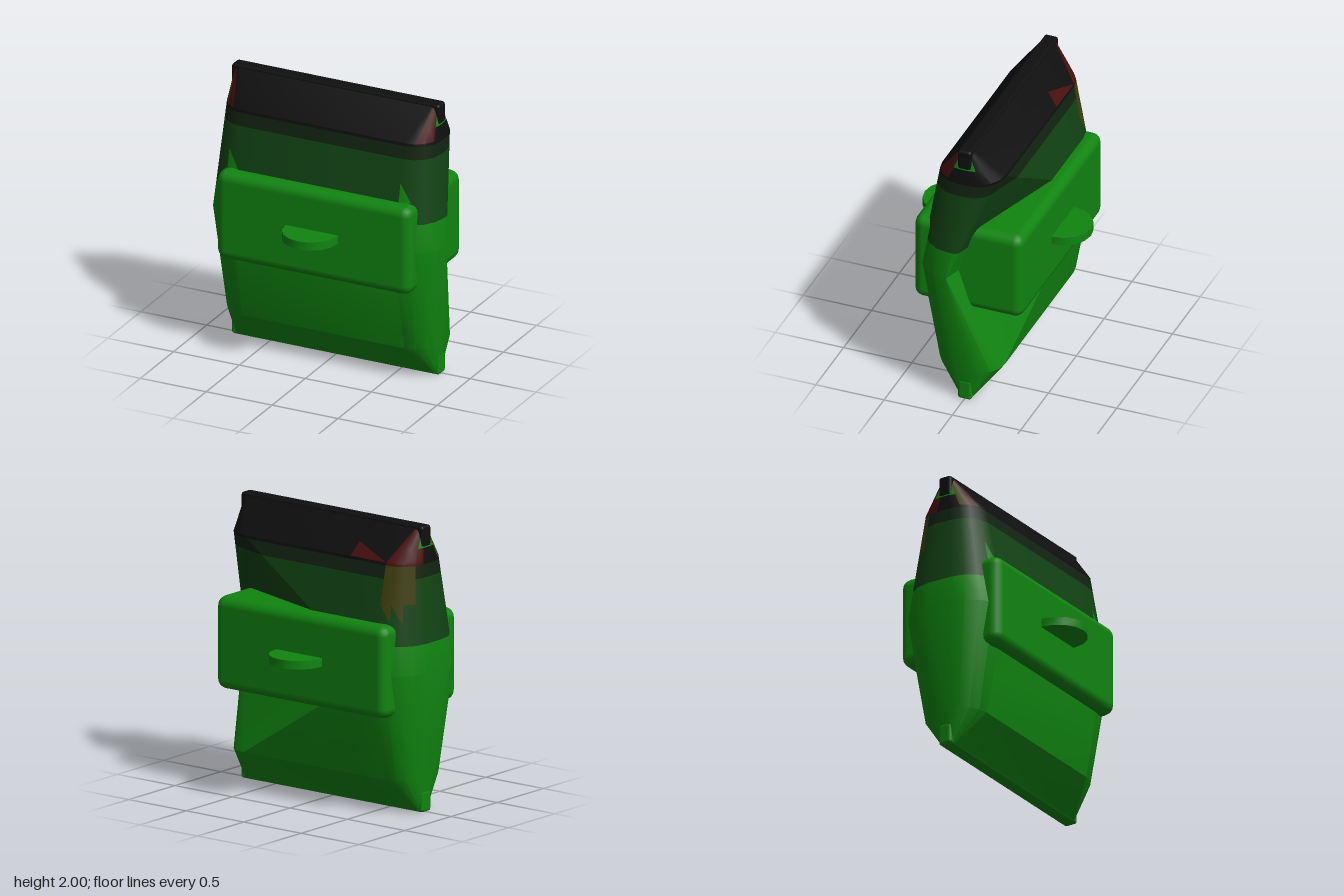
import * as THREE from 'three';
import { toCreasedNormals } from 'three/addons/utils/BufferGeometryUtils.js';
import { RoundedBoxGeometry } from 'three/addons/geometries/RoundedBoxGeometry.js';

const mat = (name, color) => {
  const m = new THREE.MeshStandardMaterial({ color });
  m.name = name;
  return m;
};

// Body sections: height, half width, half depth, corner radius
const SECTIONS = [
  [0.01, 0.77, 0.05, 0.04],
  [0.24, 0.80, 0.23, 0.18],
  [1.00, 0.87, 0.37, 0.27],
  [1.76, 0.80, 0.23, 0.18],
  [1.98, 0.77, 0.05, 0.04],
];
const ROWS = [0.01, 0.24, 1, 1.2, 1.35, 1.48, 1.65, 1.74, 1.76, 1.85, 1.98];
const STEPS = 4;

// One closed section, counter-clockwise from above, starting at the front right corner
function section([y, w, d, r]) {
  const corners = [0, 1, 2, 3].map((k) => {
    const pts = [];
    for (let s = 0; s <= STEPS; s++) {
      const a = (k - 1 + s / STEPS) * Math.PI / 2;
      const cx = (k < 2 ? 1 : -1) * (w - r);
      const cz = (k === 0 || k === 3 ? 1 : -1) * (d - r);
      pts.push(new THREE.Vector3(cx + r * Math.cos(a), y, cz - r * Math.sin(a)));
    }
    return pts;
  });
  const backLeft = corners[2][0];
  let fold = corners[1][STEPS];
  // The middle section has its back right corner pressed in
  if (y === 1) {
    corners[1] = corners[1].map(() => corners[0][STEPS].clone());
    fold = backLeft;
  }
  return [...corners[0], ...corners[1], fold.clone(), fold.clone().lerp(backLeft, 0.75),
    ...corners[2], ...corners[3]];
}

// Colour index of a body face: 0 green, 1 dark green, 2 deep green, 3 black, 4 red, 5 olive
function paint(row, col, lowerHalf) {
  const y = (ROWS[row] + ROWS[row + 1]) / 2;
  const backLeftCorner = col >= 12 && col <= 15;
  const nearEnd = (col >= 3 && col <= 5) || (col >= 15 && col <= 17);
  const frontCorner = col === 0 || col === 20;
  if (y < 1.2) return 0;
  if (y < 1.48) {
    if (frontCorner && y > 1.35 && lowerHalf) return 0;
    return backLeftCorner && y > 1.35 && col < 14 && !lowerHalf ? 5 : 1;
  }
  if (y < 1.74) return backLeftCorner && col < 15 ? 5 : y < 1.65 ? 1 : 2;
  if (y < 1.76) return backLeftCorner ? 4 : 3;
  if (y > 1.85 && nearEnd) return 0;
  if (backLeftCorner) return 4;
  if (col === 11 && y < 1.85 && lowerHalf) return 4;
  if (col === 18) return 5;
  if (col === 19 || col === 1 || col === 2) return 4;
  return 3;
}

function bodyGeometry() {
  const keys = SECTIONS.map(section);
  const rings = ROWS.map((y) => {
    let k = 0;
    while (k < SECTIONS.length - 2 && y > SECTIONS[k + 1][0]) k++;
    const t = (y - SECTIONS[k][0]) / (SECTIONS[k + 1][0] - SECTIONS[k][0]);
    return keys[k].map((p, i) => p.clone().lerp(keys[k + 1][i], t));
  });
  const buckets = [[], [], [], [], [], []];
  const n = rings[0].length;
  const add = (m, a, b, c) => {
    if (new THREE.Triangle(a, b, c).getArea() < 1e-7) return;
    for (const p of [a, b, c]) buckets[m].push(p.x, p.y, p.z);
  };
  for (let r = 0; r < rings.length - 1; r++) {
    for (let c = 0; c < n; c++) {
      const e = (c + 1) % n;
      add(paint(r, c, true), rings[r][c], rings[r][e], rings[r + 1][c]);
      add(paint(r, c, false), rings[r][e], rings[r + 1][e], rings[r + 1][c]);
    }
  }
  const g = new THREE.BufferGeometry();
  g.setAttribute('position', new THREE.Float32BufferAttribute(buckets.flat(), 3));
  let start = 0;
  buckets.forEach((b, i) => {
    g.addGroup(start, b.length / 3, i);
    start += b.length / 3;
  });
  return toCreasedNormals(g, 0.42);
}

export function createModel() {
  const green = mat('green', 0x108510);
  const black = mat('black', 0x0f0f0f);
  const bodyColours = [green, mat('dark green', 0x124414), mat('deep green', 0x112411),
    black, mat('dark red', 0x480f0f), mat('olive', 0x40400f)];

  const model = new THREE.Group();
  const part = (name, geometry, material, x, y, z) => {
    const mesh = new THREE.Mesh(geometry, material);
    mesh.name = name;
    mesh.position.set(x, y, z);
    model.add(mesh);
  };

  part('body', bodyGeometry(), bodyColours, 0, 0, 0);

  // Rounded block standing out at front and back
  part('pocketBlock', new RoundedBoxGeometry(1.48, 0.65, 0.8, 2, 0.07), green, 0, 1.025, 0);

  // Closing bars along the top and bottom edges
  const bar = new RoundedBoxGeometry(1.58, 0.15, 0.1, 2, 0.02);
  part('topBar', bar, black, 0, 1.925, 0);
  part('bottomBar', bar, green, 0, 0.075, 0);

  // Half-round pull tabs
  const tab = toCreasedNormals(new THREE.CylinderGeometry(0.2, 0.2, 0.06, 16), 0.6);
  part('frontTab', tab, green, 0, 1.03, 0.41);
  part('backTab', tab, green, 0, 1.03, -0.41);

  return model;
}
